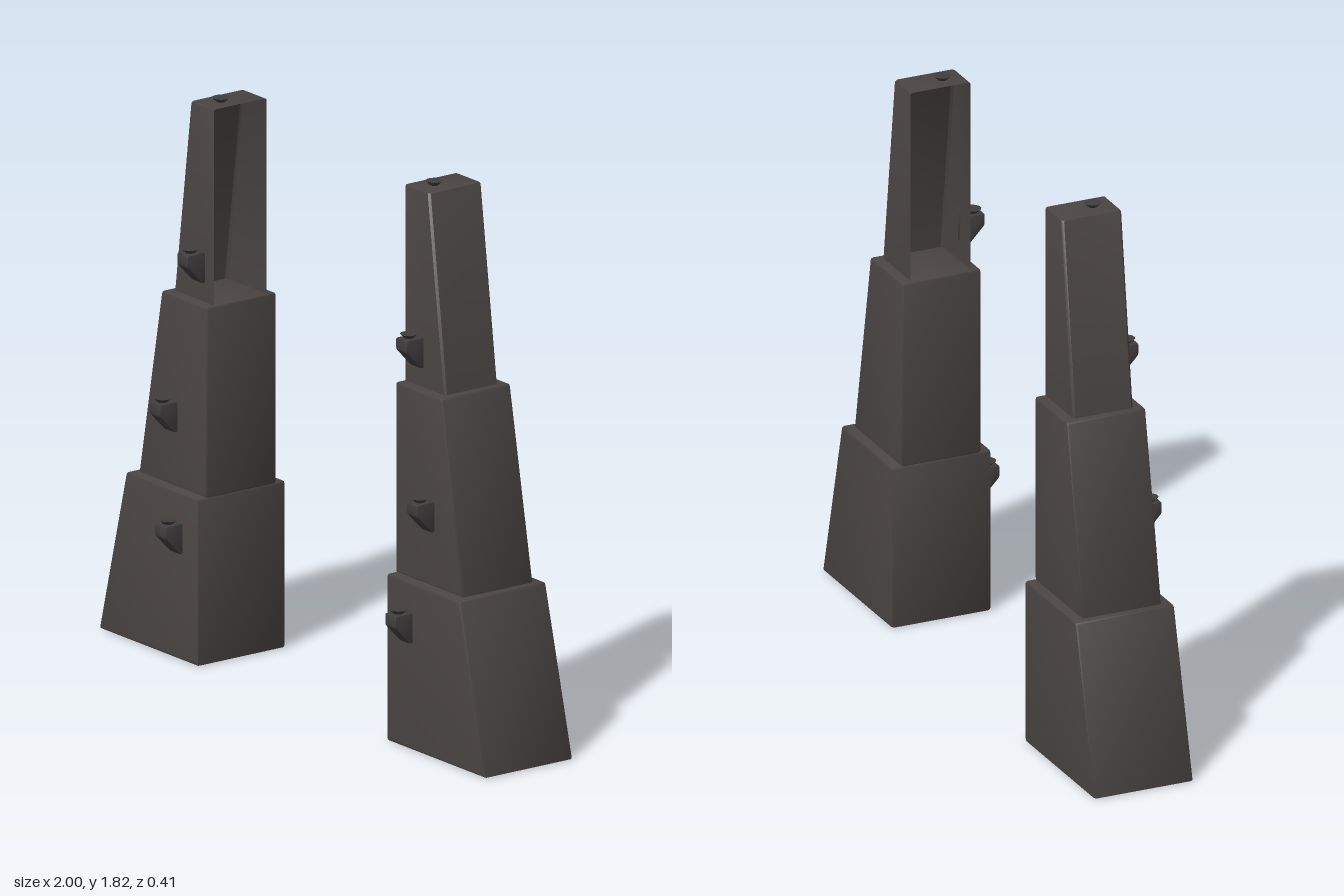
import * as THREE from 'three';
import { toCreasedNormals } from 'three/addons/utils/BufferGeometryUtils.js';

const MID_Z = -0.033; // shared depth centre of the tiers

// Closed outline with softened corners
function softShape(points, r) {
  const pts = points.map(([x, y]) => new THREE.Vector2(x, y));
  const shape = new THREE.Shape();
  pts.forEach((p, i) => {
    const prev = pts[(i + pts.length - 1) % pts.length];
    const next = pts[(i + 1) % pts.length];
    const a = prev.clone().sub(p).setLength(r).add(p);
    const b = next.clone().sub(p).setLength(r).add(p);
    if (i === 0) shape.moveTo(a.x, a.y);
    else shape.lineTo(a.x, a.y);
    shape.quadraticCurveTo(p.x, p.y, b.x, b.y);
  });
  shape.closePath();
  return shape;
}

// Bevelled slab centred on its depth
function softExtrude(points, depth, r) {
  const geo = new THREE.ExtrudeGeometry(softShape(points, r), {
    depth: depth - 2 * r, bevelEnabled: true, bevelThickness: r, bevelSize: r,
    bevelOffset: -r, bevelSegments: 2, curveSegments: 2,
  });
  geo.translate(0, 0, -(depth - 2 * r) / 2);
  return toCreasedNormals(geo, 0.6);
}

// Open-sided tapered shell: U-shaped sections stacked upward, closed by a cap
function openShell(s, inner, y0, y1, outer0, outer1, halfDepth) {
  const r = 0.007;
  const pos = [], idx = [];
  const sections = [[y0, 0], [y1 - r, 0], [y1 - r * 0.3, r * 0.3], [y1, r]];
  for (const [y, inset] of sections) {
    const t = (y - y0) / (y1 - y0);
    const x = outer0 + (outer1 - outer0) * t - inset;
    const h = halfDepth - inset;
    const u = [[inner, h], [x - r, h], [x, h - r], [x, r - h], [x - r, -h], [inner, -h]];
    for (const [px, pz] of u) pos.push(px * s, y, MID_Z + pz);
  }
  const n = 6;
  const tri = (a, b, c) => (s > 0 ? idx.push(a, b, c) : idx.push(a, c, b));
  for (let j = 0; j < sections.length - 1; j++) {
    for (let i = 0; i < n - 1; i++) {
      const a = j * n + i;
      tri(a, a + 1, a + n + 1);
      tri(a, a + n + 1, a + n);
    }
  }
  const top = (sections.length - 1) * n;
  for (let i = 1; i < n - 1; i++) tri(top, top + i, top + i + 1);
  const geo = new THREE.BufferGeometry();
  geo.setAttribute('position', new THREE.Float32BufferAttribute(pos, 3));
  geo.setIndex(idx);
  return toCreasedNormals(geo, 0.6);
}

export function createModel() {
  const stone = new THREE.MeshStandardMaterial({ color: 0x4a4543 });
  const shellStone = new THREE.MeshStandardMaterial({ color: 0x4a4543, side: THREE.DoubleSide });
  const fixture = new THREE.MeshStandardMaterial({ color: 0x403d3d });
  stone.name = 'darkStone';
  shellStone.name = 'darkStoneShell';
  fixture.name = 'darkFixture';

  const model = new THREE.Group();
  model.name = 'twinTowers';
  const add = (parent, name, geo, mat, x = 0, y = 0, z = 0) => {
    const mesh = new THREE.Mesh(geo, mat);
    mesh.name = name;
    mesh.position.set(x, y, z);
    parent.add(mesh);
  };

  // Shared lamp parts: wedge bracket (z, y profile swept along x) and flared cap
  const bracket = softExtrude(
    [[0, 0], [0.012, 0], [0.07, 0.062], [0.07, 0.1], [0, 0.1]], 0.058, 0.006);
  bracket.rotateY(-Math.PI / 2);
  const cap = new THREE.CylinderGeometry(0.028, 0.014, 0.014, 20);

  for (const s of [1, -1]) {
    const tower = new THREE.Group();
    tower.name = s > 0 ? 'leftTower' : 'rightTower';
    model.add(tower);

    // Solid tiers: inner x, bottom y, top y, outer x at bottom and top, depth
    const tiers = [
      ['lowerTier', 0.487, 0, 0.545, 1.0, 0.86, 0.342],
      ['middleTier', 0.488, 0.54, 1.164, 0.84, 0.722, 0.274],
    ];
    for (const [name, xi, y0, y1, xo0, xo1, depth] of tiers) {
      const outline = [[xi, y0], [xo0, y0], [xo1, y1], [xi, y1]].map(([x, y]) => [x * s, y]);
      add(tower, name, softExtrude(outline, depth, 0.009), stone, 0, 0, MID_Z);
    }

    // Upper tier, open toward the gap between the towers
    add(tower, 'upperTier', openShell(s, 0.495, 1.16, 1.802, 0.702, 0.617, 0.103), shellStone);
    add(tower, 'topCap', cap, fixture, 0.552 * s, 1.809, 0);

    // Front lamps, one per tier
    const lamps = [[0.595, 0.348, 0.135], [0.665, 0.722, 0.103], [0.565, 1.227, 0.07]];
    for (const [x, y, z] of lamps) {
      const lamp = new THREE.Group();
      lamp.name = 'frontLamp';
      lamp.position.set(x * s, y, z);
      add(lamp, 'lampBracket', bracket, fixture);
      add(lamp, 'lampCap', cap, fixture, 0, 0.106, 0.039);
      tower.add(lamp);
    }
  }
  return model;
}
